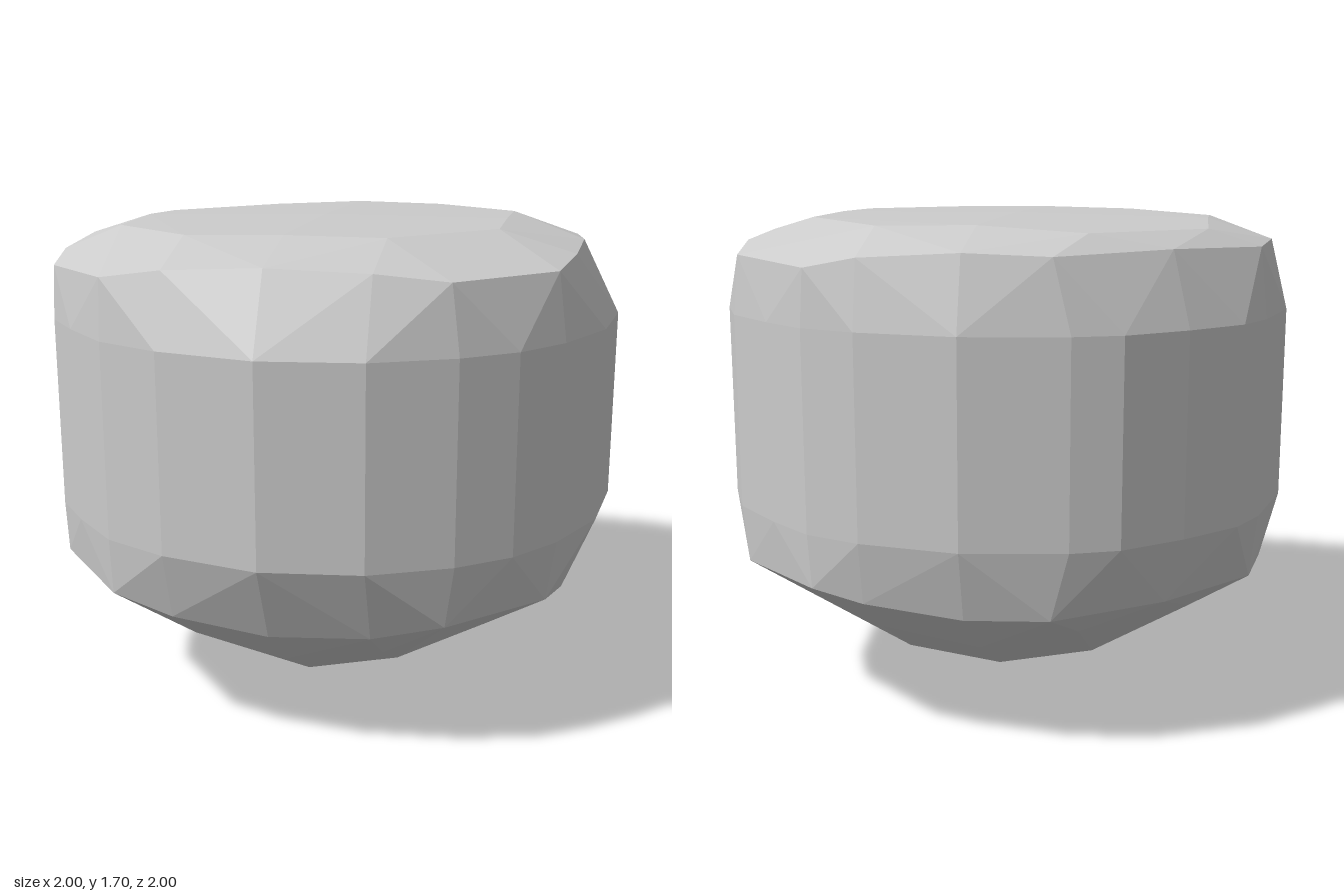
import * as THREE from 'three';
import { ConvexGeometry } from 'three/addons/geometries/ConvexGeometry.js';

// Each ring lists half of its outline as [x, z, ...]; the other half swaps x and z.
const wall = [
  [-0.71, -0.71], [-0.53, -0.87], [-0.38, -0.935], [-0.05, -1], [0.28, -0.96], [0.47, -0.895],
  [0.63, -0.77], [0.81, -0.6], [0.92, -0.38], [1, -0.05], [0.96, 0.28], [0.84, 0.54], [0.71, 0.71],
];
// Rims: [x, z, upper y, lower y]
const rim = [
  [-0.65, -0.65, 1.61, 0.48], [-0.32, -0.91, 1.6, 0.48], [-0.05, -0.94, 1.61, 0.475],
  [0.28, -0.92, 1.59, 0.5], [0.46, -0.89, 1.555, 0.53], [0.79, -0.6, 1.57, 0.515],
  [0.84, -0.38, 1.605, 0.47], [0.87, -0.05, 1.625, 0.44], [0.855, 0.28, 1.615, 0.455],
  [0.81, 0.51, 1.59, 0.495],
];
// Flat top and pointed bowl: [x, z, y]
const crown = [
  [-0.4, -0.74, 1.66], [-0.05, -0.72, 1.68], [0.28, -0.71, 1.675], [0.6, -0.38, 1.685],
  [0.6, -0.05, 1.692], [0.6, 0.28, 1.69], [-0.05, -0.05, 1.695],
];
const bowl = [
  [-0.05, -0.05, 0], [0.28, -0.05, 0.06], [0.28, 0.28, 0.13], [-0.38, -0.05, 0.12],
  [-0.38, -0.38, 0.19], [0.28, -0.38, 0.16], [0.64, -0.05, 0.26], [0.61, 0.28, 0.3],
  [0.5, 0.5, 0.36], [-0.71, -0.05, 0.3], [-0.71, -0.38, 0.38], [-0.71, 0.28, 0.35],
  [0.6, -0.38, 0.31],
];

export function createModel() {
  const points = [];
  const add = (x, y, z) => {
    points.push(new THREE.Vector3(x, y, z));
    if (x !== z) points.push(new THREE.Vector3(z, y, x));
  };

  for (const [x, z] of wall) for (const y of [0.71, 1.37]) add(x, y, z);
  for (const [x, z, top, bottom] of rim) {
    add(x, top, z);
    add(x, bottom, z);
  }
  for (const [x, z, y] of [...crown, ...bowl]) add(x, y, z);

  // Faceted stone skin stretched over all the rings
  const stone = new THREE.Mesh(
    new ConvexGeometry(points),
    new THREE.MeshStandardMaterial({ color: 0xcccccc, flatShading: true })
  );
  stone.name = 'facetedStone';

  const group = new THREE.Group();
  group.name = 'stone';
  group.add(stone);
  return group;
}
